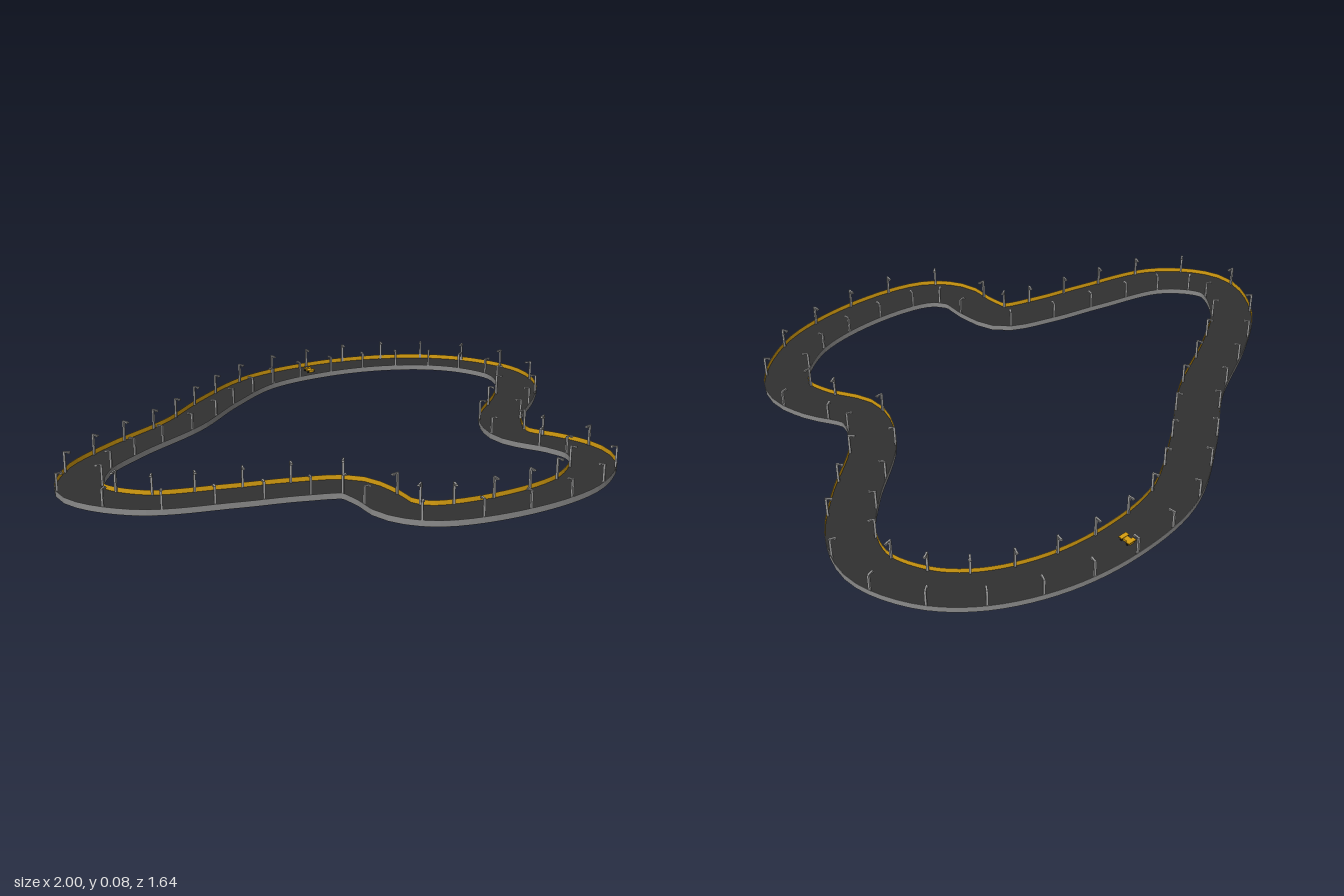
import * as THREE from 'three';
import { mergeGeometries } from 'three/addons/utils/BufferGeometryUtils.js';

const SEGMENTS = 144, HALF = 0.075, WALL = 0.002, ROAD_Y = 0.005, WALL_Y = 0.021;

// Centre line of the circuit as x, z pairs, anticlockwise from above
const CENTRE = [
  [0.3, -0.745], [0.04, -0.71], [-0.2, -0.565], [-0.41, -0.4], [-0.68, -0.26], [-0.85, -0.14],
  [-0.924, 0.02], [-0.8, 0.185], [-0.53, 0.275], [-0.34, 0.325], [-0.19, 0.39], [-0.158, 0.5],
  [-0.152, 0.6], [-0.075, 0.69], [0.18, 0.742], [0.45, 0.705], [0.61, 0.585], [0.637, 0.5],
  [0.61, 0.4], [0.533, 0.25], [0.59, 0.1], [0.78, -0.075], [0.885, -0.2], [0.922, -0.34],
  [0.86, -0.5], [0.74, -0.62], [0.54, -0.712],
];

function makeRing() {
  const curve = new THREE.CatmullRomCurve3(CENTRE.map(([x, z]) => new THREE.Vector3(x, 0, z)), true);
  curve.arcLengthDivisions = 1000;
  return Array.from({ length: SEGMENTS }, (_, i) => {
    const p = curve.getPointAt(i / SEGMENTS), t = curve.getTangentAt(i / SEGMENTS);
    return { p, out: new THREE.Vector3(-t.z, 0, t.x) };
  });
}

// Sweep a profile of [sideways offset, height] points around the ring
function sweep(ring, profile) {
  const pos = [];
  const at = (i, [d, y]) => {
    const { p, out } = ring[i % SEGMENTS];
    return [p.x + out.x * d, y, p.z + out.z * d];
  };
  for (let i = 0; i < SEGMENTS; i++) {
    for (let k = 0; k < profile.length - 1; k++) {
      const a = at(i, profile[k]), b = at(i + 1, profile[k]);
      const c = at(i + 1, profile[k + 1]), d = at(i, profile[k + 1]);
      pos.push(...a, ...b, ...c, ...a, ...c, ...d);
    }
  }
  const g = new THREE.BufferGeometry();
  g.setAttribute('position', new THREE.Float32BufferAttribute(pos, 3));
  g.computeVertexNormals();
  return g;
}

function box(w, h, d, x, y, z) {
  return new THREE.BoxGeometry(w, h, d).translate(x, y, z);
}

export function createModel() {
  const model = new THREE.Group();
  const mat = (name, color) => {
    const m = new THREE.MeshStandardMaterial({ color });
    m.name = name;
    return m;
  };
  const asphalt = mat('asphalt', 0x313131);
  const concrete = mat('concrete grey', 0x8a8a8a);
  const yellow = mat('barrier yellow', 0xd89f10);
  const steel = mat('lamp steel', 0x9a9a9a);
  const black = mat('tyre black', 0x1a1a1a);
  const add = (parent, name, geometry, material) => {
    const m = new THREE.Mesh(geometry, material);
    m.name = name;
    parent.add(m);
  };
  const ring = makeRing();

  // Road slab
  add(model, 'road', sweep(ring, [
    [HALF, 0], [HALF, ROAD_Y], [-HALF, ROAD_Y], [-HALF, 0], [HALF, 0],
  ]), asphalt);

  // Barriers: grey outside and cap, yellow towards the road
  const e = HALF + 0.001, f = e - WALL;
  add(model, 'outerBarrier', sweep(ring, [[e, 0.001], [e, WALL_Y], [f, WALL_Y]]), concrete);
  add(model, 'outerBarrierFace', sweep(ring, [[f, WALL_Y], [f, ROAD_Y]]), yellow);
  add(model, 'innerBarrier', sweep(ring, [[-f, WALL_Y], [-e, WALL_Y], [-e, 0.001]]), concrete);
  add(model, 'innerBarrierFace', sweep(ring, [[-f, ROAD_Y], [-f, WALL_Y]]), yellow);

  // Lamp posts along both edges, arms reaching over the road
  const lamp = mergeGeometries([
    box(0.007, 0.07, 0.007, 0, 0.041, 0),
    box(0.024, 0.004, 0.006, 0.0085, 0.076, 0),
    box(0.008, 0.004, 0.01, 0.0165, 0.0735, 0),
  ]);
  const lamps = [];
  for (let i = 0; i < SEGMENTS; i += 4) {
    for (const side of [1, -1]) {
      const { p, out } = ring[side > 0 ? i : i + 3];
      const g = lamp.clone();
      g.rotateY(Math.atan2(out.z * side, -out.x * side));
      const d = side * (HALF - 0.004);
      lamps.push(g.translate(p.x + out.x * d, 0, p.z + out.z * d));
    }
  }
  add(model, 'lampPosts', mergeGeometries(lamps), steel);

  // Small open-wheel car on the top straight
  const car = new THREE.Group();
  car.name = 'car';
  car.position.set(0.28, ROAD_Y, -0.752);
  model.add(car);
  add(car, 'carBody', mergeGeometries([
    box(0.018, 0.008, 0.04, 0, 0.006, 0),
    box(0.03, 0.003, 0.014, 0, 0.0105, 0.015),
    box(0.03, 0.003, 0.014, 0, 0.0105, -0.015),
  ]), yellow);
  const wheels = [];
  for (const x of [-0.011, 0.011]) for (const z of [-0.013, 0.013]) {
    wheels.push(new THREE.CylinderGeometry(0.0035, 0.0035, 0.006, 10)
      .rotateZ(Math.PI / 2).translate(x, 0.0035, z));
  }
  add(car, 'wheels', mergeGeometries(wheels), black);

  return model;
}
